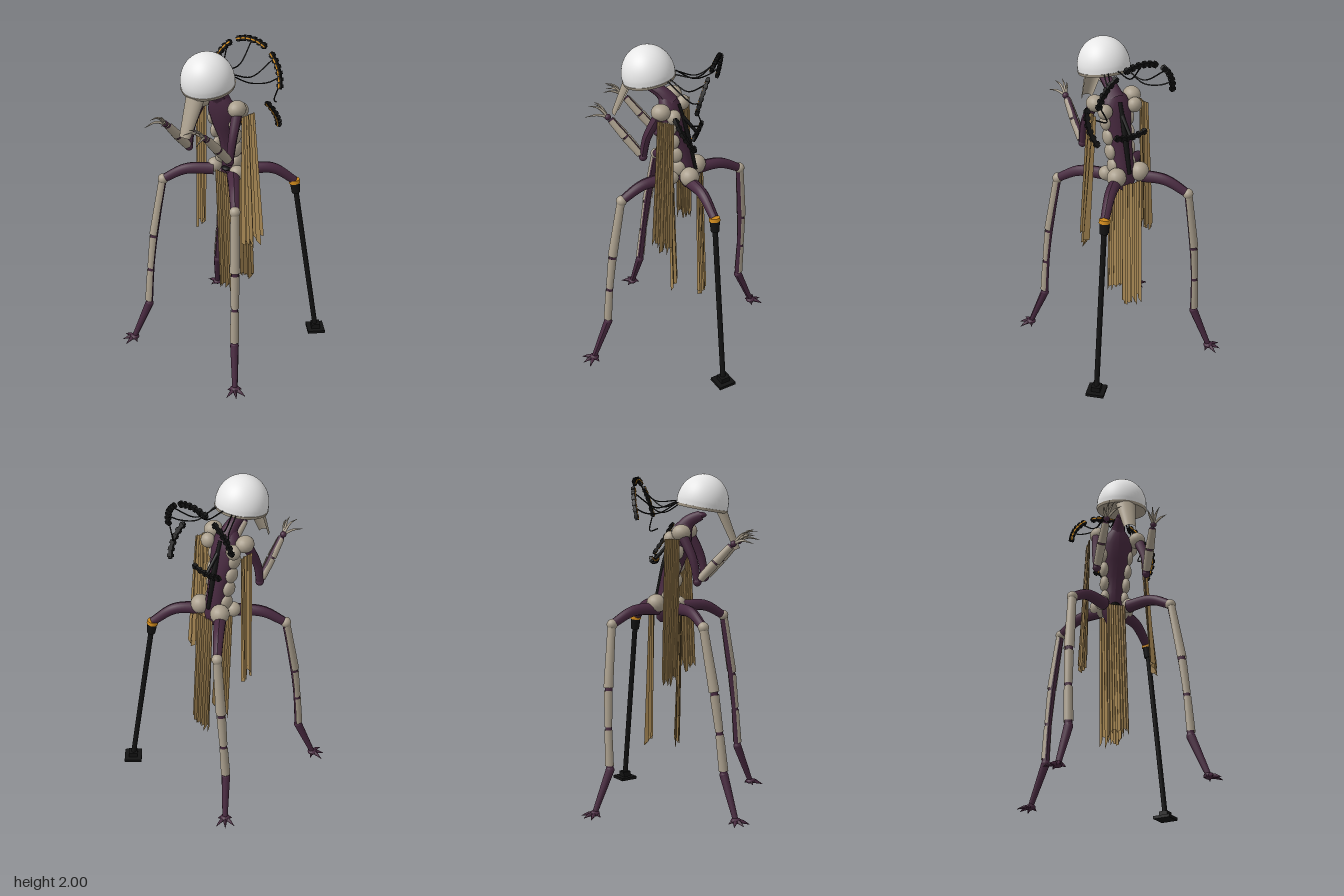
import * as THREE from 'three';

const mat = (name, color, side = THREE.FrontSide) => {
  const m = new THREE.MeshStandardMaterial({ color, side });
  m.name = name;
  return m;
};
const V = (x, y, z) => new THREE.Vector3(x, y, z);

export function createModel() {
  const root = new THREE.Group();
  const skin = mat('purple skin', 0x47293f);
  const plate = mat('bone plate', 0xaa9f8d, THREE.DoubleSide);
  const cloth = mat('ragged cloth', 0xa58653, THREE.DoubleSide);
  const white = mat('white dome', 0xeeeeee);
  const black = mat('black metal', 0x121212);
  const orange = mat('orange trim', 0xd08a1c);

  const add = (name, geo, m, parent = root) => {
    const mesh = new THREE.Mesh(geo, m);
    mesh.name = name;
    parent.add(mesh);
    return mesh;
  };
  const ball = (name, p, r, m, sx = 1, sy = 1, sz = 1) => {
    const b = add(name, new THREE.SphereGeometry(r, 18, 12), m);
    b.position.copy(p);
    b.scale.set(sx, sy, sz);
    return b;
  };
  // Tube through points whose radius follows a list of values
  const limb = (name, pts, radii, m, sides = 10, seg = 16) => {
    const curve = new THREE.CatmullRomCurve3(pts);
    const g = new THREE.TubeGeometry(curve, seg, 1, sides);
    const pos = g.attributes.position, v = V(0, 0, 0);
    for (let i = 0; i < pos.count; i++) {
      const t = Math.floor(i / (sides + 1)) / seg;
      const f = t * (radii.length - 1), k = Math.min(Math.floor(f), radii.length - 2);
      const r = THREE.MathUtils.lerp(radii[k], radii[k + 1], f - k);
      const c = curve.getPointAt(t);
      v.fromBufferAttribute(pos, i).sub(c).multiplyScalar(r).add(c);
      pos.setXYZ(i, v.x, v.y, v.z);
    }
    g.computeVertexNormals();
    return add(name, g, m);
  };
  // Partial cylinder between two points, open on the side away from "out"
  const shell = (name, a, b, ra, rb, out, m = plate, arc = 4) => {
    const y = a.clone().sub(b), len = y.length();
    y.normalize();
    const x = y.clone().cross(out).normalize(), z = x.clone().cross(y);
    const s = add(name, new THREE.CylinderGeometry(ra, rb, len, 14, 1, arc < 6, -arc / 2, arc), m);
    s.quaternion.setFromRotationMatrix(new THREE.Matrix4().makeBasis(x, y, z));
    s.position.copy(a).add(b).multiplyScalar(0.5);
    return s;
  };

  // Torso: stacked oval sections [y, z centre, half width, half depth]
  const rows = [[1.11, -0.09, 0.01, 0.01], [1.13, -0.085, 0.04, 0.035], [1.2, -0.07, 0.075, 0.06],
    [1.3, -0.055, 0.062, 0.055], [1.4, -0.035, 0.065, 0.055], [1.5, 0, 0.082, 0.062],
    [1.6, 0.025, 0.1, 0.066], [1.67, 0.04, 0.075, 0.055], [1.71, 0.06, 0.035, 0.035]];
  const body = new THREE.CylinderGeometry(1, 1, 1, 20, rows.length - 1, true);
  const bp = body.attributes.position;
  for (let i = 0; i < bp.count; i++) {
    const [y, zc, rx, rz] = rows[rows.length - 1 - Math.floor(i / 21)];
    bp.setXYZ(i, bp.getX(i) * rx, y, zc + bp.getZ(i) * rz);
  }
  body.computeVertexNormals();
  add('torso', body, skin);
  limb('neck', [V(0, 1.66, 0.03), V(0, 1.72, 0.08), V(0, 1.755, 0.15)], [0.055, 0.04, 0.03], skin);
  ball('neckEnd', V(0, 1.755, 0.15), 0.03, skin, 1, 0.6, 1);
  limb('spine', [V(0, 1.66, -0.02), V(0, 1.5, -0.065), V(0, 1.35, -0.1), V(0, 1.24, -0.125)], [0.012, 0.018, 0.012], black);
  ball('pelvisClasp', V(0, 1.215, -0.005), 0.025, black, 1.2, 0.5, 1);

  // Domed head with rim, underside and long face plate
  const head = new THREE.Group();
  head.name = 'head';
  head.position.set(0, 1.8, 0.152);
  head.rotation.x = 0.18;
  root.add(head);
  const prof = [new THREE.Vector2(0.152, 0)];
  for (let i = 0; i <= 16; i++) {
    const a = i / 16 * Math.PI / 2;
    prof.push(new THREE.Vector2(0.155 * Math.cos(a), 0.03 + 0.168 * Math.sin(a)));
  }
  add('dome', new THREE.LatheGeometry(prof, 40), white, head);
  add('rim', new THREE.CylinderGeometry(0.157, 0.152, 0.016, 40), plate, head);
  const mask = new THREE.CylinderGeometry(0.062, 0.036, 0.25, 16, 1, true, -1.7, 3.4);
  const face = add('facePlate', mask, plate);
  face.position.set(0, 1.665, 0.305);
  face.rotation.x = -0.42;
  face.scale.z = 0.75;

  for (const s of [-1, 1]) {
    // Shoulders, hips and flank plates
    ball('shoulder', V(0.125 * s, 1.655, 0.05), 0.052, plate, 1, 0.95, 1.1);
    ball('shoulderBlade', V(0.1 * s, 1.62, -0.02), 0.045, plate, 1, 1, 0.9);
    ball('frontHip', V(0.085 * s, 1.215, 0), 0.045, plate);
    ball('rearHip', V(0.08 * s, 1.23, -0.11), 0.058, plate);
    for (let i = 0; i < 4; i++)
      ball('flankPlate', V((0.062 + i * 0.006) * s, 1.27 + i * 0.09, -0.035 + i * 0.016), 0.05, plate, 0.55, 1, 0.9);

    // Arm
    const sh = V(0.135 * s, 1.64, 0.06), el = V(0.155 * s, 1.37, 0.15), wr = V(0.145 * s, 1.585, 0.345);
    limb('upperArm', [sh, V(0.155 * s, 1.5, 0.125), el], [0.032, 0.026, 0.022], skin);
    ball('elbow', el, 0.025, skin);
    limb('forearm', [el, wr], [0.02, 0.018], skin);
    const on = t => el.clone().lerp(wr, t), arcOut = V(0, -1, 1);
    shell('forearmPlate', on(0.08), on(0.52), 0.025, 0.029, arcOut, plate, 5.4);
    shell('wristPlate', on(0.55), on(0.97), 0.028, 0.022, arcOut, plate, 5.4);
    ball('palm', V(0.145 * s, 1.595, 0.36), 0.019, skin);
    [[0.045, 1.6, 0.48], [0.008, 1.655, 0.47], [-0.03, 1.665, 0.45], [-0.065, 1.63, 0.46]].forEach(([dx, y, z]) =>
      limb('finger', [V(0.145 * s, 1.595, 0.36), V((0.145 + dx * 0.6) * s, y * 0.6 + 0.655, 0.41),
        V((0.145 + dx) * s, y, z)], [0.009, 0.007, 0.001], plate, 6, 8));
  }

  // Legs: three natural ones [x sign, z sign, knee x, knee z]
  const thigh = (sx, sz, knee) => {
    const hip = V(0.075 * sx, 1.2, sz > 0 ? 0.02 : -0.1);
    const mid = hip.clone().lerp(knee, 0.55);
    mid.y = 1.195;
    limb('thigh', [hip, mid, knee], [0.038, 0.033, 0.026], skin);
  };
  for (const [sx, sz, kx, kz] of [[1, 1, 0.275, 0.25], [-1, 1, 0.315, 0.21], [-1, -1, 0.275, 0.335]]) {
    const knee = V(kx * sx, 1.125, kz * sz), ankle = V(0.348 * sx, 0.27, 0.338 * sz);
    const foot = V(0.417 * sx, 0.022, 0.417 * sz), out = V(sx, 0, sz);
    const at = t => {
      const p = knee.clone().lerp(ankle, t);
      return p.addScaledVector(out, 0.012 * Math.sin(t * Math.PI));
    };
    thigh(sx, sz, knee);
    ball('knee', knee, 0.032, plate);
    limb('shin', [0, 0.25, 0.5, 0.75, 1].map(at), [0.022, 0.024, 0.02, 0.022], skin);
    shell('upperShinPlate', at(0.02), at(0.43), 0.026, 0.031, out);
    shell('middleShinPlate', at(0.45), at(0.7), 0.028, 0.024, out);
    shell('lowerShinPlate', at(0.72), at(0.97), 0.025, 0.028, out);
    limb('ankle', [ankle, ankle.clone().lerp(foot, 0.5), foot], [0.026, 0.021, 0.016], skin);
    ball('ankleJoint', ankle, 0.026, skin);
    ball('foot', foot, 0.03, skin, 1, 0.6, 1);
    // Claws fan outward, with two short ones behind
    const dir = Math.atan2(sz, sx);
    [[-0.78, 0.08], [0, 0.075], [0.78, 0.08], [1.9, 0.045], [-1.9, 0.045]].forEach(([a, l]) => {
      const c = Math.cos(dir + a), d = Math.sin(dir + a);
      limb('claw', [foot, V(foot.x + c * l * 0.5, 0.018, foot.z + d * l * 0.5),
        V(foot.x + c * l, 0.004, foot.z + d * l)], [0.015, 0.011, 0.001], skin, 6, 6);
    });
  }

  // Replacement leg on the rear left
  const stump = V(0.285, 1.105, -0.31), tip = V(0.417, 0.02, -0.417);
  const rod = t => stump.clone().lerp(tip, t), outBL = V(1, 0, -1);
  thigh(1, -1, stump);
  shell('kneeTrim', rod(-0.005), rod(0.015), 0.032, 0.034, outBL, orange, Math.PI * 2);
  shell('socket', rod(0.012), rod(0.075), 0.03, 0.026, outBL, black, Math.PI * 2);
  shell('rod', rod(0.06), tip, 0.016, 0.016, outBL, black, Math.PI * 2);
  const pad = add('footPad', new THREE.BoxGeometry(0.11, 0.018, 0.11), black);
  pad.position.set(0.417, 0.009, -0.417);
  pad.rotation.y = Math.PI / 4;
  const block = add('footBlock', new THREE.BoxGeometry(0.055, 0.035, 0.055), black);
  block.position.set(0.417, 0.032, -0.417);
  block.rotation.y = Math.PI / 4;

  // Broken halo of arc segments with trim on the front
  const arcGeo = (r0, r1, a0, a1, depth) => {
    const sh = new THREE.Shape();
    sh.absarc(0, 0, r1, a0, a1, false);
    sh.absarc(0, 0, r0, a1, a0, true);
    return new THREE.ExtrudeGeometry(sh, { depth, bevelEnabled: false, curveSegments: 12 }).translate(0, 0, -depth / 2);
  };
  const segment = (parent, from, to) => {
    const a = THREE.MathUtils.degToRad(from), b = THREE.MathUtils.degToRad(to), n = 6, w = (b - a) / n;
    add('haloSegment', arcGeo(0.236, 0.258, a, b, 0.016), black, parent);
    for (let i = 0; i < n; i++) {
      add('haloBlock', arcGeo(0.23, 0.264, a + w * (i + 0.25), a + w * (i + 0.75), 0.022), black, parent);
      add('haloTrim', arcGeo(0.243, 0.251, a + w * (i + 0.1), a + w * (i + 0.9), 0.004), orange, parent).position.z = 0.0105;
    }
  };
  const halo = new THREE.Group();
  halo.name = 'halo';
  halo.position.set(0, 1.72, -0.185);
  halo.rotation.x = -0.22;
  root.add(halo);
  [[3, 54], [64, 116], [126, 177], [244, 296]].forEach(([a, b]) => segment(halo, a, b));
  const loose = new THREE.Group();
  loose.name = 'looseHaloSegment';
  loose.position.set(0.025, 1.6, -0.125);
  loose.rotation.x = 0.57;
  root.add(loose);
  segment(loose, -27, 27);

  // Cables and the strut holding the halo
  const cable = (...p) => limb('cable', p, [0.004, 0.004], black, 6, 20);
  for (const s of [-1, 1]) {
    cable(V(0.06 * s, 1.835, 0.01), V(0.11 * s, 1.8, -0.1), V(0.17 * s, 1.885, -0.22));
    cable(V(0.08 * s, 1.83, 0.02), V(0.12 * s, 1.77, -0.08), V(0.19 * s, 1.77, -0.15), V(0.235 * s, 1.8, -0.2));
  }
  cable(V(0, 1.84, 0), V(0, 1.84, -0.13), V(0, 1.95, -0.235));
  cable(V(0.24, 1.75, -0.19), V(0.2, 1.65, -0.2), V(0.25, 1.66, -0.16));
  limb('haloStrut', [V(0, 1.6, -0.03), V(0, 1.49, -0.13)], [0.012, 0.01], black);

  // Hanging cloth: pleated sheet with a torn lower edge
  let seed = 7;
  const rnd = () => (seed = (seed * 16807) % 2147483647) / 2147483647;
  const hang = (name, a, b, c, d, fold) => {
    const n = 16, m = 6;
    let g = new THREE.PlaneGeometry(1, 1, n, m);
    const p = g.attributes.position, top = V(0, 0, 0), low = V(0, 0, 0);
    const normal = b.clone().sub(a).cross(V(0, 1, 0)).normalize();
    const torn = [], pleat = [];
    for (let i = 0; i <= n; i++) {
      torn.push(rnd() * 0.08);
      pleat.push((i % 2 - 0.5) * fold + (rnd() - 0.5) * fold);
    }
    for (let i = 0; i < p.count; i++) {
      const col = i % (n + 1), t = Math.floor(i / (n + 1)) / m;
      top.lerpVectors(a, b, col / n);
      low.lerpVectors(c, d, col / n);
      low.y += torn[col];
      top.lerp(low, t).addScaledVector(normal, pleat[col] * (0.4 + 0.6 * t));
      p.setXYZ(i, top.x, top.y, top.z);
    }
    g = g.toNonIndexed();
    g.computeVertexNormals();
    add(name, g, cloth);
  };
  hang('frontCloth', V(-0.06, 1.2, 0.025), V(0.055, 1.2, 0.025), V(-0.045, 0.34, 0), V(0.085, 0.34, 0), 0.02);
  hang('backCloth', V(-0.065, 1.19, -0.15), V(0.065, 1.19, -0.15), V(-0.05, 0.34, -0.175), V(0.085, 0.34, -0.175), 0.025);
  hang('leftCloth', V(0.17, 1.62, 0.06), V(0.18, 1.62, -0.04), V(0.205, 0.76, 0.09), V(0.25, 0.76, -0.045), 0.025);
  hang('rightCloth', V(-0.175, 1.62, 0.05), V(-0.18, 1.62, -0.04), V(-0.185, 0.75, 0.04), V(-0.215, 0.75, -0.05), 0.022);
  return root;
}
